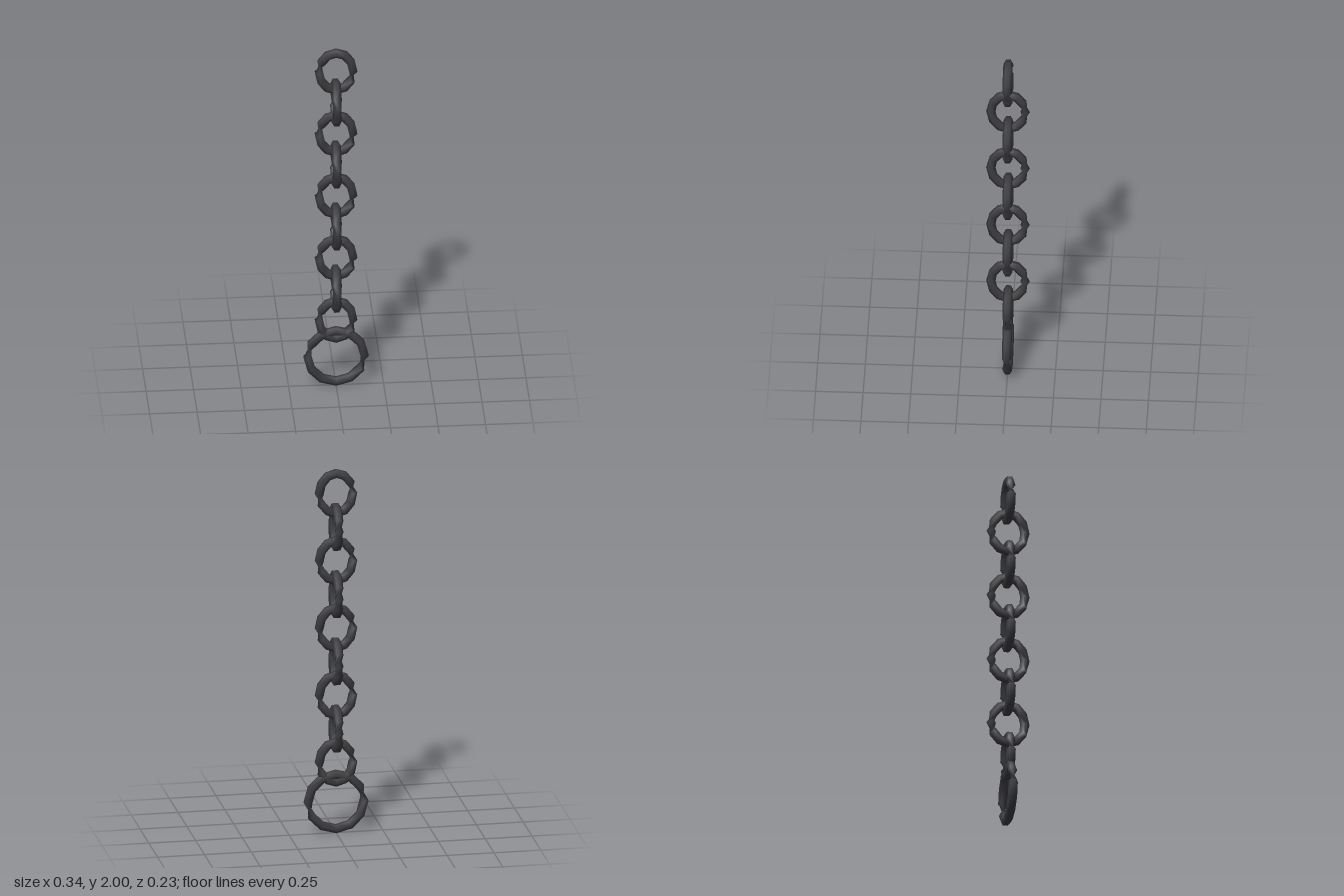
import * as THREE from 'three';

const SEGMENTS = 12, SIDES = 6, WIRE = 0.025;

// Closed six-sided wire swept round an ellipse, in the XY plane or the YZ plane.
// Its reference axis changes on the steep flanks, which gives the wire its twists.
function wireLoop(halfWidth, halfHeight, sideways) {
  const positions = [], index = [];
  const up = new THREE.Vector3(0, 1, 0), across = new THREE.Vector3(1, 0, 0);
  const place = (w, h) => sideways ? new THREE.Vector3(0, h, w) : new THREE.Vector3(w, h, 0);
  for (let i = 0; i < SEGMENTS; i++) {
    const a = i / SEGMENTS * Math.PI * 2;
    const centre = place(halfWidth * Math.cos(a), halfHeight * Math.sin(a));
    const tangent = place(-halfWidth * Math.sin(a), halfHeight * Math.cos(a)).normalize();
    const steep = Math.abs(tangent.y) > 0.92;
    const n1 = new THREE.Vector3().crossVectors(tangent, steep ? across : up).normalize();
    const n2 = new THREE.Vector3().crossVectors(tangent, n1);
    for (let j = 0; j < SIDES; j++) {
      const p = j / SIDES * Math.PI * 2;
      const v = centre.clone()
        .addScaledVector(n1, WIRE * Math.cos(p))
        .addScaledVector(n2, WIRE * Math.sin(p));
      positions.push(v.x, v.y, v.z);

      const i2 = (i + 1) % SEGMENTS, j2 = (j + 1) % SIDES;
      const q = i * SIDES + j, r = i2 * SIDES + j, s = i2 * SIDES + j2, t = i * SIDES + j2;
      index.push(q, t, s, q, s, r);
    }
  }
  const geometry = new THREE.BufferGeometry();
  geometry.setAttribute('position', new THREE.Float32BufferAttribute(positions, 3));
  geometry.setIndex(index);
  geometry.computeVertexNormals();
  return geometry;
}

export function createModel() {
  const model = new THREE.Group();
  model.name = 'chain';
  const iron = new THREE.MeshStandardMaterial({ color: 0x3c3c40 });
  iron.name = 'dark iron';

  const add = (name, geometry, y) => {
    const mesh = new THREE.Mesh(geometry, iron);
    mesh.name = name;
    mesh.position.y = y;
    model.add(mesh);
  };

  // Nine oval links, alternately facing front and side
  const frontLink = wireLoop(0.09, 0.11, false);
  const sideLink = wireLoop(0.09, 0.11, true);
  for (let i = 0; i < 9; i++) {
    add(`link${i + 1}`, i % 2 ? sideLink : frontLink, 1.868 - i * 0.185);
  }

  // Large round ring at the bottom
  add('endRing', wireLoop(0.15, 0.15, false), 0.172);
  return model;
}
